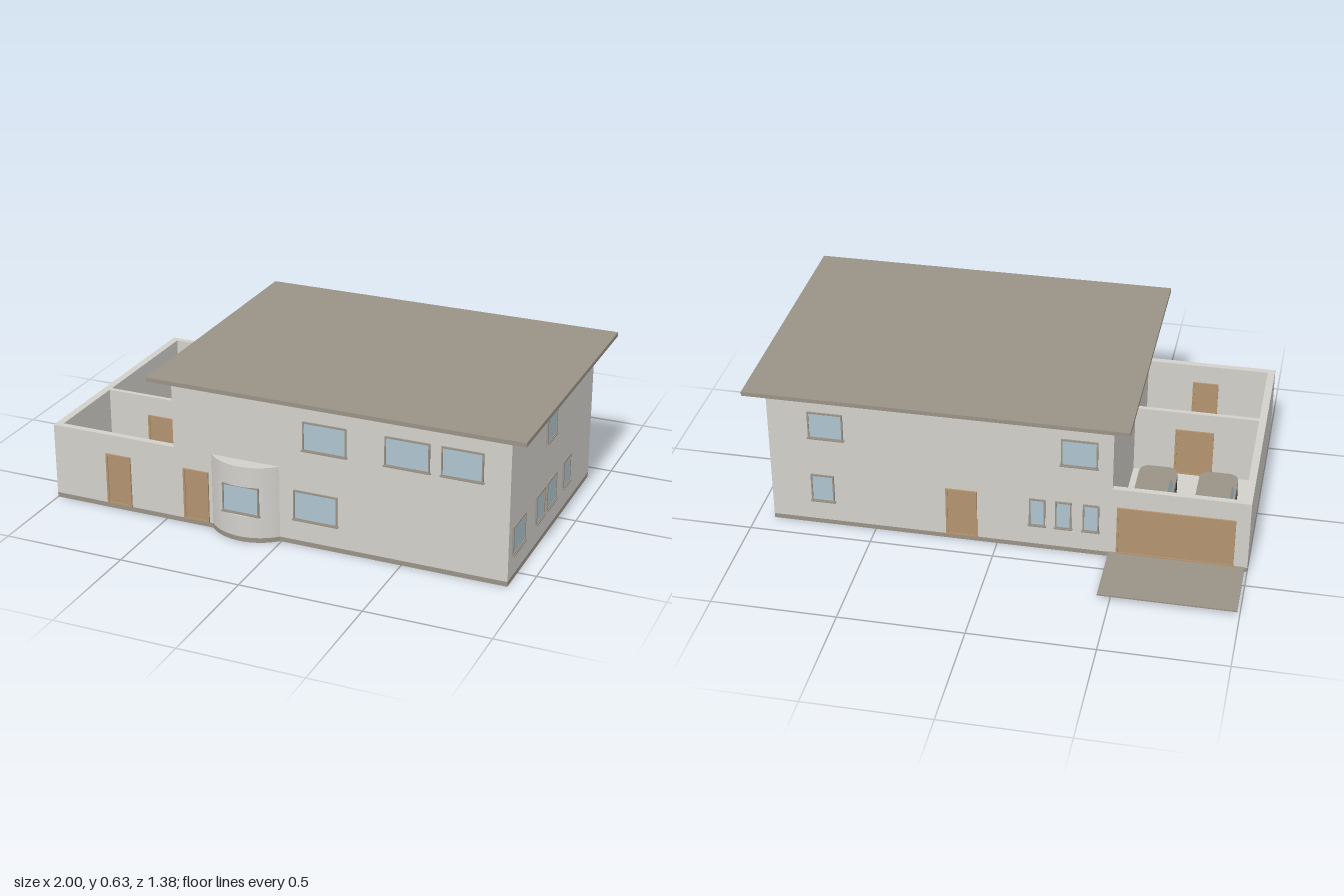
import * as THREE from 'three';
import { toCreasedNormals } from 'three/addons/utils/BufferGeometryUtils.js';

const mat = (name, color) => {
  const m = new THREE.MeshStandardMaterial({ color });
  m.name = name;
  return m;
};

export function createModel() {
  const house = new THREE.Group();
  house.name = 'house';
  const wall = mat('plaster', 0xd2d0cb);
  const trim = mat('taupe', 0x999287);
  const glass = mat('glass', 0xaec5d0);
  const wood = mat('wood', 0xb39370);
  const rubber = mat('rubber', 0x35352f);

  const add = (parent, name, geo, material) => {
    const mesh = new THREE.Mesh(geo, material);
    mesh.name = name;
    parent.add(mesh);
    return mesh;
  };
  // Box given by its extents on each axis
  const block = (parent, name, material, x0, x1, y0, y1, z0, z1) => {
    const m = add(parent, name, new THREE.BoxGeometry(x1 - x0, y1 - y0, z1 - z0), material);
    m.position.set((x0 + x1) / 2, (y0 + y1) / 2, (z0 + z1) / 2);
    return m;
  };
  // Plan outline of [x, z] points raised from y0 to y1
  const raise = (pts, y0, y1) => {
    const shape = new THREE.Shape(pts.map(([x, z]) => new THREE.Vector2(x, -z)));
    const g = new THREE.ExtrudeGeometry(shape, { depth: y1 - y0, bevelEnabled: false });
    g.rotateX(-Math.PI / 2).translate(0, y0, 0);
    return toCreasedNormals(g, 0.6);
  };

  // Main volumes
  block(house, 'baseSlab', trim, -1, 0.925, 0, 0.02, -0.41, 0.62);
  block(house, 'mainBlock', wall, -0.46, 0.925, 0.02, 0.615, -0.41, 0.62);
  block(house, 'roofSlab', trim, -0.53, 1, 0.613, 0.63, -0.48, 0.69);
  block(house, 'driveway', trim, -0.99, -0.45, 0.017, 0.023, -0.695, -0.41);

  // Open garage and yard
  block(house, 'yardFloor', wall, -0.97, -0.46, 0.02, 0.024, -0.385, 0.592);
  block(house, 'sideWall', wall, -1, -0.97, 0.02, 0.32, -0.41, 0.62);
  block(house, 'frontYardWall', wall, -0.97, -0.46, 0.02, 0.32, 0.592, 0.62);
  block(house, 'garageBackWall', wall, -0.97, -0.46, 0.02, 0.32, -0.41, -0.385);
  block(house, 'partitionWall', wall, -0.97, -0.46, 0.02, 0.32, 0.2, 0.22);
  block(house, 'yardBench', wall, -0.97, -0.912, 0.024, 0.1, 0.24, 0.355);

  // Curved bay, cut flat where its window sits
  const bay = new THREE.Group();
  bay.name = 'bay';
  house.add(bay);
  const arc = (zMax) => {
    const pts = [];
    const a = Math.asin(0.145 / 0.205);
    for (let i = 0; i <= 32; i++) {
      const t = -a + (2 * a * i) / 32;
      pts.push([-0.15 + 0.205 * Math.sin(t), Math.min(zMax, 0.475 + 0.205 * Math.cos(t))]);
    }
    return pts;
  };
  add(bay, 'bayBase', raise(arc(1), 0, 0.02), trim);
  add(bay, 'bayLower', raise(arc(1), 0.02, 0.11), wall);
  add(bay, 'bayMiddle', raise(arc(0.662), 0.11, 0.235), wall);
  add(bay, 'bayUpper', raise(arc(1), 0.235, 0.32), wall);

  // Frames, panes and doors, built facing +z and turned to their wall
  const ring = (w, h, b, d) => {
    const rect = (S, x, y) => new S([[-x, -y], [x, -y], [x, y], [-x, y]].map((p) => new THREE.Vector2(...p)));
    const s = rect(THREE.Shape, w / 2, h / 2);
    s.holes.push(rect(THREE.Path, w / 2 - b, h / 2 - b));
    return new THREE.ExtrudeGeometry(s, { depth: d, bevelEnabled: false });
  };
  const turns = { front: 0, back: Math.PI, right: Math.PI / 2, left: -Math.PI / 2 };
  const opening = (name, side, a0, a1, y0, y1, plane, kind = 'window') => {
    const g = new THREE.Group();
    const w = a1 - a0, h = y1 - y0, c = (a0 + a1) / 2;
    const onX = side === 'left' || side === 'right';
    g.name = name;
    g.position.set(onX ? plane : c, (y0 + y1) / 2, onX ? c : plane);
    g.rotation.y = turns[side];
    const isWindow = kind === 'window';
    add(g, 'frame', ring(w, h, isWindow ? 0.006 : 0.008, 0.007), isWindow ? trim : wood);
    add(g, isWindow ? 'pane' : 'leaf', new THREE.BoxGeometry(w - 0.01, h - 0.01, 0.006), isWindow ? glass : wood);
    if (isWindow) {
      add(g, 'sill', new THREE.BoxGeometry(w + 0.008, 0.005, 0.012), trim).position.set(0, -h / 2, 0.005);
    }
    house.add(g);
  };
  const low = [0.11, 0.235], high = [0.408, 0.528], door = [0.02, 0.238];

  // Front
  for (const [a, b] of [[0.095, 0.275], [0.43, 0.61], [0.655, 0.82]]) opening('frontUpperWindow', 'front', a, b, ...high, 0.62);
  opening('frontLowerWindow', 'front', 0.055, 0.238, ...low, 0.62);
  opening('bayWindow', 'front', -0.228, -0.072, 0.112, 0.233, 0.662);
  opening('yardDoor', 'front', -0.765, -0.655, ...door, 0.62, 'door');
  opening('entranceDoor', 'front', -0.42, -0.31, ...door, 0.62, 'door');
  // Right-hand end
  opening('endUpperWindow', 'right', 0.088, 0.206, ...high, 0.925);
  for (const [a, b] of [[0.44, 0.582], [0.206, 0.308], [0.058, 0.178], [-0.125, -0.035]]) opening('endLowerWindow', 'right', a, b, 0.11, 0.23, 0.925);
  // Back
  for (const [a, b] of [[0.617, 0.76], [-0.4, -0.255]]) opening('backUpperWindow', 'back', a, b, ...high, -0.41);
  for (const [a, b] of [[0.665, 0.76], [-0.195, -0.13], [-0.3, -0.235], [-0.41, -0.345]]) opening('backLowerWindow', 'back', a, b, ...low, -0.41);
  opening('backDoor', 'back', 0.08, 0.207, ...door, -0.41, 'door');
  opening('garageDoor', 'back', -0.945, -0.48, ...door, -0.41, 'door');
  // Upper wall above the yard, and doors inside the yard
  opening('yardUpperWindow', 'left', 0.208, 0.354, ...high, -0.46);
  opening('yardDoorInside', 'back', -0.765, -0.655, ...door, 0.592, 'door');
  opening('partitionDoorBack', 'back', -0.79, -0.63, ...door, 0.2, 'door');
  opening('partitionDoorFront', 'front', -0.79, -0.63, ...door, 0.22, 'door');

  // Parked cars, nose towards the garage door
  const buildCar = (x) => {
    const car = new THREE.Group();
    car.name = 'car';
    car.position.set(x, 0.024, -0.105);
    const plan = [];
    for (let i = 0; i < 4; i++) {
      for (let j = 0; j <= 5; j++) {
        const t = ((i + j / 5) * Math.PI) / 2;
        const sx = i === 0 || i === 3 ? 1 : -1, sz = i < 2 ? 1 : -1;
        plan.push([sx * 0.04 + 0.04 * Math.cos(t), sz * 0.18 + 0.045 * Math.sin(t)]);
      }
    }
    add(car, 'carBody', raise(plan, 0.018, 0.075), trim);
    // Cabin: a box narrowed towards the roof
    const cabin = new THREE.BoxGeometry(1, 0.05, 1);
    const p = cabin.attributes.position;
    for (let i = 0; i < p.count; i++) {
      const top = p.getY(i) > 0, back = p.getZ(i) > 0;
      p.setX(i, Math.sign(p.getX(i)) * (top ? 0.064 : 0.072));
      p.setZ(i, back ? (top ? 0.065 : 0.11) : (top ? -0.06 : -0.115));
    }
    cabin.computeVertexNormals();
    add(car, 'carCabin', cabin, [glass, glass, trim, trim, glass, glass]).position.y = 0.1;
    for (const s of [-1, 1]) {
      block(car, 'mirror', trim, s * 0.083 - 0.007, s * 0.083 + 0.007, 0.075, 0.085, -0.095, -0.083);
      for (const z of [-0.135, 0.135]) {
        const wheel = add(car, 'wheel', new THREE.CylinderGeometry(0.03, 0.03, 0.02, 20), rubber);
        wheel.rotation.z = Math.PI / 2;
        wheel.position.set(s * 0.072, 0.03, z);
      }
    }
    house.add(car);
  };
  [-0.83, -0.58].forEach(buildCar);

  return house;
}
